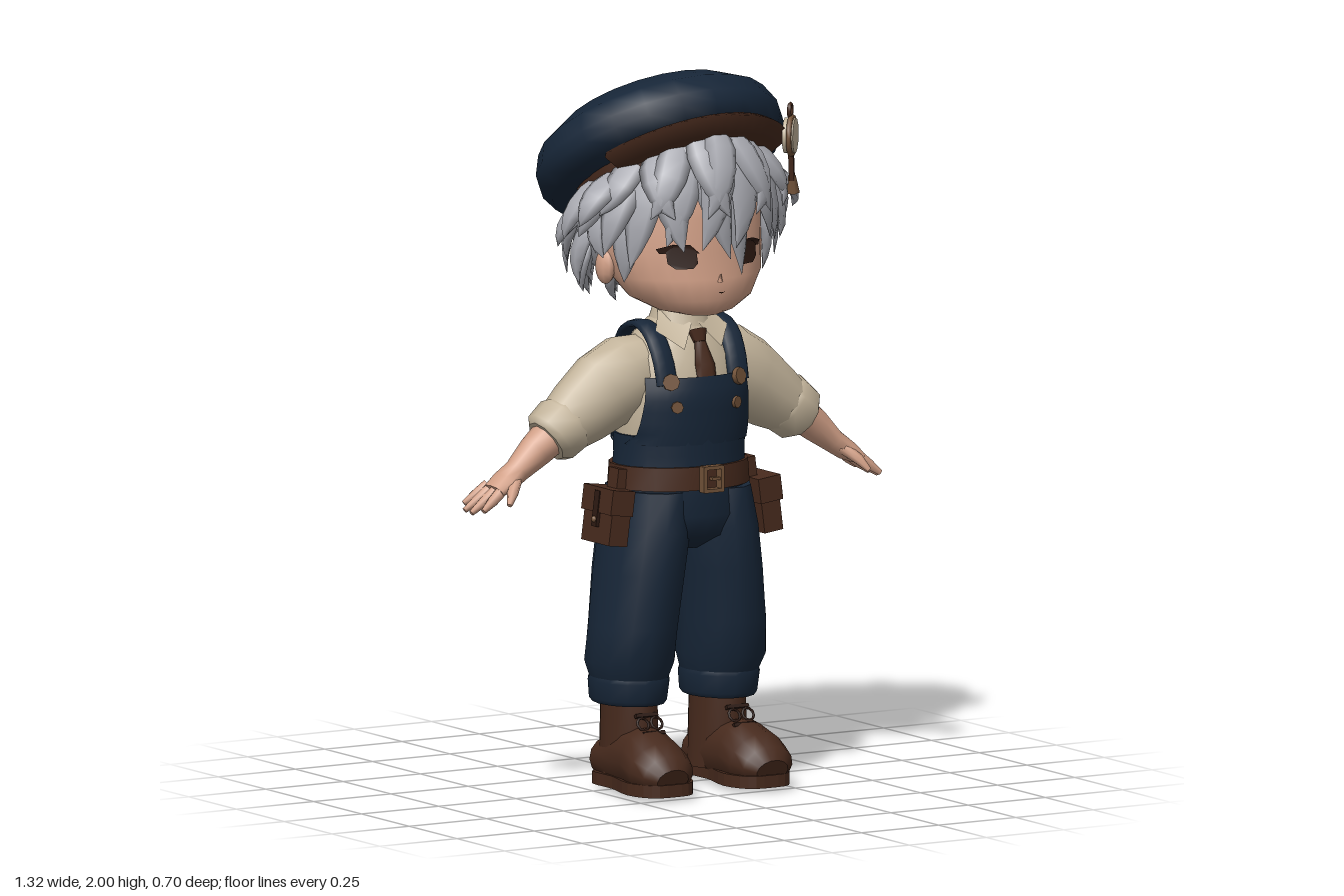
import * as THREE from 'three';

const V = (x, y, z) => new THREE.Vector3(x, y, z);
const material = (name, color) => {
  const m = new THREE.MeshStandardMaterial({ color, side: THREE.DoubleSide });
  m.name = name;
  return m;
};
const Z = V(0, 0, 1), Y = V(0, 1, 0);

// Lofts elliptical rings along points; radii are [width, thickness], ref gives the thickness direction.
// A fixed axis keeps all rings parallel.
function loft(points, radii, ref = Z, seg = 16, axis = null) {
  const pos = [], idx = [], n = points.length;
  const rings = points.map((p, i) => {
    const t = axis || points[Math.min(i + 1, n - 1)].clone().sub(points[Math.max(i - 1, 0)]).normalize();
    const r = typeof ref === 'function' ? ref(p) : ref;
    const side = t.clone().cross(r).normalize(), up = side.clone().cross(t);
    return Array.from({ length: seg }, (_, j) => {
      const a = j / seg * Math.PI * 2;
      return p.clone().addScaledVector(side, radii[i][0] * Math.cos(a)).addScaledVector(up, radii[i][1] * Math.sin(a));
    });
  });
  const push = v => pos.push(v.x, v.y, v.z);
  rings.forEach(r => r.forEach(push));
  for (let i = 0; i < n - 1; i++) for (let j = 0; j < seg; j++) {
    const a = i * seg + j, b = i * seg + (j + 1) % seg, c = a + seg, d = b + seg;
    idx.push(a, c, b, b, c, d);
  }
  for (const i of [0, n - 1]) {
    const s = pos.length / 3;
    rings[i].forEach(push);
    push(points[i]);
    for (let j = 0; j < seg; j++) {
      const k = s + (j + 1) % seg;
      if (i) idx.push(s + seg, k, s + j); else idx.push(s + seg, s + j, k);
    }
  }
  const g = new THREE.BufferGeometry();
  g.setAttribute('position', new THREE.Float32BufferAttribute(pos, 3));
  g.setIndex(idx);
  g.computeVertexNormals();
  return g;
}

// Vertical loft from rings of [y, rx, cz, rz].
const body = (rings, cx = () => 0, seg = 20) =>
  loft(rings.map((r, i) => V(cx(i), r[0], r[2])), rings.map(r => [r[1], r[3]]), Z, seg, Y);

// Front (dir 1) or back (dir -1) depth of a ring stack at x, y.
function depth(rings, x, y, dir = 1) {
  let i = 0;
  while (i < rings.length - 2 && rings[i + 1][0] < y) i++;
  const k = THREE.MathUtils.clamp((y - rings[i][0]) / (rings[i + 1][0] - rings[i][0]), 0, 1);
  const [, rx, cz, rz] = rings[i].map((v, j) => THREE.MathUtils.lerp(v, rings[i + 1][j], k));
  return cz + dir * rz * Math.sqrt(Math.max(0, 1 - (x / rx) ** 2));
}

const HEAD = [[1.322, 0.05, 0.16, 0.05], [1.335, 0.11, 0.125, 0.11], [1.37, 0.175, 0.1, 0.16], [1.43, 0.218, 0.075, 0.187],
  [1.5, 0.235, 0.05, 0.195], [1.6, 0.24, 0.04, 0.205], [1.72, 0.21, 0.03, 0.19], [1.82, 0.12, 0.02, 0.11]];
const SHIRT = [[0.9, 0.18, 0.04, 0.135], [1, 0.188, 0.045, 0.143], [1.1, 0.186, 0.05, 0.145], [1.2, 0.17, 0.04, 0.13],
  [1.26, 0.13, 0.038, 0.1], [1.3, 0.08, 0.04, 0.075]];

export function createModel() {
  const root = new THREE.Group();
  root.name = 'capBoy';
  const navy = material('navy cloth', 0x172638), brown = material('brown leather', 0x472a1d), dark = material('dark brown', 0x2c1912),
    skin = material('skin', 0xd2a087), cream = material('cream cloth', 0xc2b39a), grey = material('silver hair', 0xa7a8af),
    brass = material('brass', 0x735339);
  const add = (name, geo, mat, p = [0, 0, 0], r = [0, 0, 0], parent = root) => {
    const m = new THREE.Mesh(geo, mat);
    m.name = name;
    m.position.set(...p);
    m.rotation.set(...r);
    parent.add(m);
    return m;
  };

  // Head, neck and nose
  add('head', body(HEAD, undefined, 28), skin);
  add('neck', new THREE.CylinderGeometry(0.06, 0.068, 0.14, 14), skin, [0, 1.32, 0.045]);
  add('nose', new THREE.ConeGeometry(0.009, 0.025, 5), skin, [0, 1.435, 0.262], [0.3, 0, 0]);

  // Face plates laid onto the head surface
  const facePlate = (name, pts, mat) => {
    const g = new THREE.ShapeGeometry(new THREE.Shape(pts.map(p => new THREE.Vector2(...p))));
    const p = g.attributes.position;
    for (let i = 0; i < p.count; i++) p.setZ(i, depth(HEAD, p.getX(i), p.getY(i)) + 0.008);
    g.computeVertexNormals();
    add(name, g, mat);
  };
  for (const s of [1, -1]) {
    const flip = a => a.map(([x, y]) => [x * s, y]);
    facePlate('eye', flip([[0.065, 1.478], [0.08, 1.463], [0.125, 1.463], [0.143, 1.478], [0.145, 1.51], [0.13, 1.523], [0.085, 1.523], [0.067, 1.51]]), dark);
    facePlate('eyelash', flip([[0.058, 1.505], [0.16, 1.505], [0.168, 1.518], [0.13, 1.53], [0.085, 1.53]]), dark);
    add('ear', new THREE.SphereGeometry(0.05, 10, 8), skin, [s * 0.232, 1.455, 0.035]).scale.set(0.5, 1, 0.7);
  }
  facePlate('mouth', [[-0.012, 1.395], [0.012, 1.395], [0, 1.391]], brown);

  // Hair cap, nape and tapered locks
  add('hairCap', new THREE.SphereGeometry(0.265, 24, 14, 0, Math.PI * 2, 0, 1.9), grey, [0, 1.62, 0.01], [-0.64, 0, 0]);
  add('hairNape', body([[1.38, 0.13, -0.05, 0.1], [1.44, 0.2, -0.06, 0.14], [1.52, 0.243, -0.06, 0.18], [1.65, 0.25, -0.04, 0.2]]), grey);
  const polar = (a, r, y) => V(r * Math.sin(a), y, 0.02 + r * Math.cos(a));
  const lock = (deg, y0, r0, y1, r1, turn, w) => {
    const a = deg * Math.PI / 180, d = turn * Math.PI / 180;
    const curve = new THREE.QuadraticBezierCurve3(polar(a, r0, y0), polar(a + d * 0.2, Math.max(r0, r1) + 0.02, y0 * 0.45 + y1 * 0.55), polar(a + d, r1, y1));
    const taper = [0.7, 1, 0.95, 0.75, 0.42, 0.01];
    add('hairLock', loft(curve.getPoints(5), taper.map(k => [w * k, 0.02 * k]), p => V(p.x, 0.05, p.z - 0.02), 6), grey);
  };
  // Fringe: [angle, tip height, tip radius, turn]
  [[-78, 1.54, 0.31, -12], [-62, 1.5, 0.3, -10], [-48, 1.465, 0.275, -10], [-36, 1.515, 0.28, 10], [-24, 1.53, 0.28, -12], [-12, 1.49, 0.28, 14],
    [-2, 1.52, 0.29, -14], [5, 1.44, 0.265, 8], [17, 1.52, 0.285, -12], [27, 1.53, 0.28, 12], [39, 1.515, 0.28, 10], [50, 1.465, 0.275, 8],
    [63, 1.5, 0.3, 10], [78, 1.54, 0.31, 12]].forEach(([a, y, r, t]) => lock(a, 1.84 - Math.abs(a) * 0.0017, 0.22, y, r, t, 0.055));
  for (let a = -60; a <= 60; a += 15) lock(a, 1.85 - Math.abs(a) * 0.0015, 0.215, 1.61, 0.305, a % 2 ? 14 : -14, 0.048);
  for (const s of [1, -1]) {
    // Flared side tufts and sideburns
    [[72, 1.72, 1.58, 0.35, 8], [86, 1.7, 1.535, 0.35, 6], [98, 1.64, 1.5, 0.33, 10], [62, 1.62, 1.42, 0.245, 4], [82, 1.64, 1.49, 0.29, -8],
      [106, 1.56, 1.4, 0.28, -6], [114, 1.5, 1.37, 0.255, -4], [124, 1.5, 1.35, 0.235, 6]].forEach(([a, y0, y1, r, t]) => lock(s * a, y0, 0.24, y1, r, s * t, 0.05));
  }
  // Rear rows
  for (let i = 0; i < 9; i++) lock(112 + i * 17, 1.64, 0.25, 1.45 - (i % 2) * 0.04, 0.295, i % 2 ? 6 : -6, 0.06);
  for (let i = 0; i < 8; i++) lock(118 + i * 17.7, 1.54, 0.23, 1.37 + (i % 3) * 0.02, 0.23, i % 2 ? -6 : 6, 0.055);
  for (let i = 0; i < 7; i++) lock(120 + i * 20, 1.46, 0.17, 1.335 + (i % 2) * 0.02, 0.16, i % 2 ? 6 : -6, 0.05);

  // Beret with short leather peak, tilted back
  const hat = new THREE.Group();
  hat.name = 'beret';
  hat.position.set(0, 1.735, -0.045);
  hat.rotation.x = -0.585;
  root.add(hat);
  const lathe = (pts, ...arc) => new THREE.LatheGeometry(pts.map(p => new THREE.Vector2(...p)), ...arc);
  add('beretCrown', lathe([[0, -0.08], [0.22, -0.08], [0.33, -0.045], [0.354, 0], [0.354, 0.035], [0.33, 0.09], [0.25, 0.142], [0.13, 0.175], [0, 0.183]], 22), navy, undefined, undefined, hat).scale.z = 0.975;
  add('peak', lathe([[0.25, -0.105], [0.32, -0.088], [0.38, -0.064], [0.36, -0.045], [0.25, -0.075]], 16, -1.1, 2.2), brown, undefined, undefined, hat).scale.x = 0.87;
  add('hatBand', lathe([[0.262, -0.115], [0.28, -0.06]], 20, -1.7, 3.4), brown, undefined, undefined, hat);

  // Round badge with hanging tassel
  const badge = new THREE.Group();
  badge.name = 'badge';
  badge.position.set(0.28, 1.795, 0.175);
  badge.rotation.y = 0.85;
  root.add(badge);
  add('badgeDisc', new THREE.CylinderGeometry(0.05, 0.05, 0.03, 12), cream, [0, 0, 0], [Math.PI / 2, 0, 0], badge);
  add('badgeRim', new THREE.TorusGeometry(0.052, 0.008, 6, 16), brass, [0, 0, 0.004], [0, 0, 0], badge);
  add('badgeRing', new THREE.TorusGeometry(0.018, 0.006, 5, 10), brown, [0, 0.07, 0], [0, 0, 0], badge);
  add('tasselCord', new THREE.BoxGeometry(0.016, 0.09, 0.014), brown, [0.02, -0.085, 0], [0, 0, 0.2], badge);
  add('tassel', new THREE.CylinderGeometry(0.01, 0.02, 0.05, 6), brass, [0.035, -0.14, 0], [0, 0, 0.2], badge);

  // Shirt, collar and tie
  add('shirt', body(SHIRT), cream);
  add('collar', new THREE.CylinderGeometry(0.072, 0.088, 0.05, 16, 1, true), cream, [0, 1.305, 0.042]);
  for (const s of [1, -1]) {
    const g = new THREE.BufferGeometry().setFromPoints([V(s * 0.078, 1.325, 0.06), V(s * 0.01, 1.29, 0.128), V(s * 0.06, 1.225, 0.172), V(s * 0.115, 1.275, 0.11)]);
    g.setIndex(s > 0 ? [0, 1, 2, 0, 2, 3] : [2, 1, 0, 3, 2, 0]);
    g.computeVertexNormals();
    add('collarFlap', g, cream);
  }
  add('tieKnot', new THREE.CylinderGeometry(0.028, 0.018, 0.035, 6), brown, [0, 1.255, 0.145], [-0.4, 0, 0]);
  add('tie', loft([V(0, 1.25, 0.152), V(0, 1.18, 0.182), V(0, 1.13, 0.195)], [[0.016, 0.008], [0.032, 0.008], [0.03, 0.006]], Z, 6), brown);

  // Overalls: seat, front and back bibs
  add('overallsSeat', body([[0.66, 0.1, 0.035, 0.08], [0.7, 0.17, 0.038, 0.145], [0.76, 0.21, 0.04, 0.163], [0.85, 0.197, 0.04, 0.156], [0.93, 0.193, 0.045, 0.152], [0.985, 0.194, 0.046, 0.153]]), navy);
  const bib = (name, dir, top, w0, w1) => {
    const g = new THREE.PlaneGeometry(2, 1, 14, 6), p = g.attributes.position;
    for (let i = 0; i < p.count; i++) {
      const k = p.getY(i) + 0.5, y = 0.96 + k * (top - 0.96), x = p.getX(i) * THREE.MathUtils.lerp(w0, w1, Math.sqrt(k));
      p.setXYZ(i, x * dir * 1.05, y, depth(SHIRT, x, y, dir) + dir * 0.014);
    }
    g.computeVertexNormals();
    add(name, g, navy);
  };
  bib('frontBib', 1, 1.15, 0.184, 0.154);
  bib('backBib', -1, 1.17, 0.184, 0.135);

  // Belt with buckle
  add('belt', body([[0.835, 0.207, 0.042, 0.166], [0.9, 0.202, 0.042, 0.163]], undefined, 24), brown);
  for (const s of [1, -1]) {
    add('buckleBar', new THREE.BoxGeometry(0.062, 0.01, 0.025), brass, [0, 0.867 + s * 0.032, 0.218]);
    add('buckleSide', new THREE.BoxGeometry(0.01, 0.07, 0.025), brass, [s * 0.028, 0.867, 0.218]);
  }
  add('bucklePin', new THREE.BoxGeometry(0.03, 0.008, 0.016), brass, [0.012, 0.867, 0.217]);

  for (const s of [1, -1]) {
    // Shoulder straps, clasps and buttons
    const strap = new THREE.CatmullRomCurve3([V(s * 0.115, 1.13, 0.17), V(s * 0.117, 1.2, 0.15), V(s * 0.12, 1.265, 0.105), V(s * 0.12, 1.288, 0.04), V(s * 0.11, 1.25, -0.05), V(s * 0.095, 1.15, -0.09)]);
    add('strap', loft(strap.getPoints(12), Array(13).fill([0.034, 0.012]), p => V(0, p.y - 1.1, p.z - 0.04), 8), navy);
    add('clasp', new THREE.CylinderGeometry(0.024, 0.024, 0.014, 8), brass, [s * 0.11, 1.14, 0.182], [1.4, 0, -s * 0.4]);
    add('bibButton', new THREE.CylinderGeometry(0.017, 0.017, 0.014, 8), brass, [s * 0.095, 1.07, 0.19], [Math.PI / 2, 0, -s * 0.4]);

    // Sleeve with rolled cuff
    const P = (x, y, z = 0.02) => V(s * x, y, z);
    add('sleeve', loft([P(0.08, 1.185, 0.03), P(0.15, 1.15, 0.03), P(0.23, 1.105), P(0.31, 1.05), P(0.37, 1.01)],
      [[0.08, 0.08], [0.118, 0.1], [0.115, 0.1], [0.098, 0.092], [0.078, 0.08]], Z, 12), cream);
    add('sleeveCuff', loft([P(0.34, 1.035), P(0.355, 1.025), P(0.4, 0.99), P(0.415, 0.98)], [[0.075, 0.08], [0.088, 0.092], [0.083, 0.088], [0.065, 0.07]], Z, 10), cream);

    // Forearm, hand, fingers and thumb
    add('forearm', loft([P(0.38, 1.01), P(0.45, 0.955), P(0.51, 0.905), P(0.55, 0.877), P(0.585, 0.855)], [[0.055, 0.06], [0.047, 0.052], [0.034, 0.04], [0.03, 0.052], [0.02, 0.05]], Z, 10), skin);
    [[-0.035, -0.055, 0.635, 0.815], [-0.008, -0.018, 0.655, 0.802], [0.022, 0.022, 0.658, 0.8], [0.048, 0.06, 0.642, 0.808]].forEach(([z0, z1, x, y]) =>
      add('finger', loft([P(0.57, 0.865, z0), P(x * 0.5 + 0.287, y * 0.5 + 0.43, (z0 + z1) / 2), P(x, y, z1)], [[0.017, 0.016], [0.015, 0.015], [0.008, 0.008]], Z, 7), skin));
    add('thumb', loft([P(0.53, 0.885, 0.045), P(0.56, 0.855, 0.08), P(0.582, 0.825, 0.1)], [[0.02, 0.018], [0.016, 0.015], [0.007, 0.007]], Y, 7), skin);

    // Trouser leg with turned-up hem
    const legX = [0.145, 0.148, 0.143, 0.126, 0.11, 0.1];
    add('trouserLeg', body([[0.28, 0.095, 0.015, 0.12], [0.35, 0.12, 0.025, 0.143], [0.45, 0.116, 0.035, 0.15], [0.6, 0.115, 0.036, 0.163], [0.72, 0.113, 0.038, 0.168], [0.83, 0.1, 0.04, 0.152]], i => s * legX[i], 14), navy);
    add('trouserHem', body([[0.232, 0.093, 0.015, 0.118], [0.245, 0.103, 0.015, 0.127], [0.295, 0.108, 0.018, 0.132], [0.315, 0.1, 0.02, 0.125]], () => s * 0.146, 14), navy);

    // Boot shaft, foot, sole and laces
    add('bootShaft', body([[0.03, 0.075, 0.005, 0.088], [0.12, 0.074, 0.014, 0.102], [0.25, 0.072, 0.015, 0.098]], () => s * 0.143, 14), brown);
    add('bootFoot', loft([V(s * 0.148, 0.065, -0.07), V(s * 0.15, 0.075, 0.05), V(s * 0.155, 0.08, 0.13), V(s * 0.16, 0.065, 0.2), V(s * 0.161, 0.055, 0.25), V(s * 0.161, 0.045, 0.274)],
      [[0.07, 0.06], [0.078, 0.09], [0.088, 0.095], [0.095, 0.08], [0.08, 0.06], [0.05, 0.035]], Y, 14), brown);
    const outline = new THREE.Shape(new THREE.SplineCurve([[0, 0.085], [-0.066, 0.05], [-0.07, -0.06], [-0.094, -0.18], [-0.065, -0.262], [0, -0.277], [0.065, -0.262], [0.098, -0.18], [0.07, -0.06], [0.066, 0.05], [0, 0.085]]
      .map(p => new THREE.Vector2(...p))).getPoints(30));
    add('sole', new THREE.ExtrudeGeometry(outline, { depth: 0.035, bevelEnabled: false }), brown, [s * 0.156, 0, 0], [-Math.PI / 2, 0, 0]);
    for (const e of [1, -1]) add('laceLoop', new THREE.TorusGeometry(0.018, 0.004, 5, 10), dark, [s * 0.148 + e * 0.022, 0.185, 0.132], [-0.5, 0, e * 0.4]);
    for (const y of [0.16, 0.205]) add('lace', new THREE.BoxGeometry(0.07, 0.01, 0.012), dark, [s * 0.147, y, y < 0.18 ? 0.15 : 0.112], [-0.5, 0, 0]);

    // Hip pouch with flap and stud
    const pouch = new THREE.Group();
    pouch.name = 'pouch';
    pouch.position.set(s * 0.243, 0.762, 0.062);
    pouch.rotation.z = s * 0.13;
    root.add(pouch);
    add('pouchBag', new THREE.BoxGeometry(0.06, 0.15, 0.145), brown, [0, 0, 0], [0, 0, 0], pouch);
    add('pouchFlap', new THREE.BoxGeometry(0.072, 0.07, 0.155), brown, [s * 0.002, 0.045, 0], [0, 0, 0], pouch);
    add('pouchStrap', new THREE.BoxGeometry(0.01, 0.1, 0.025), dark, [s * 0.036, 0.02, 0], [0, 0, 0], pouch);
    add('pouchStud', new THREE.SphereGeometry(0.009, 8, 6), brass, [s * 0.041, -0.01, 0], [0, 0, 0], pouch);
    add('pouchLoop', new THREE.BoxGeometry(0.03, 0.07, 0.05), brown, [-s * 0.02, 0.1, 0], [0, 0, 0], pouch);
  }
  return root;
}
